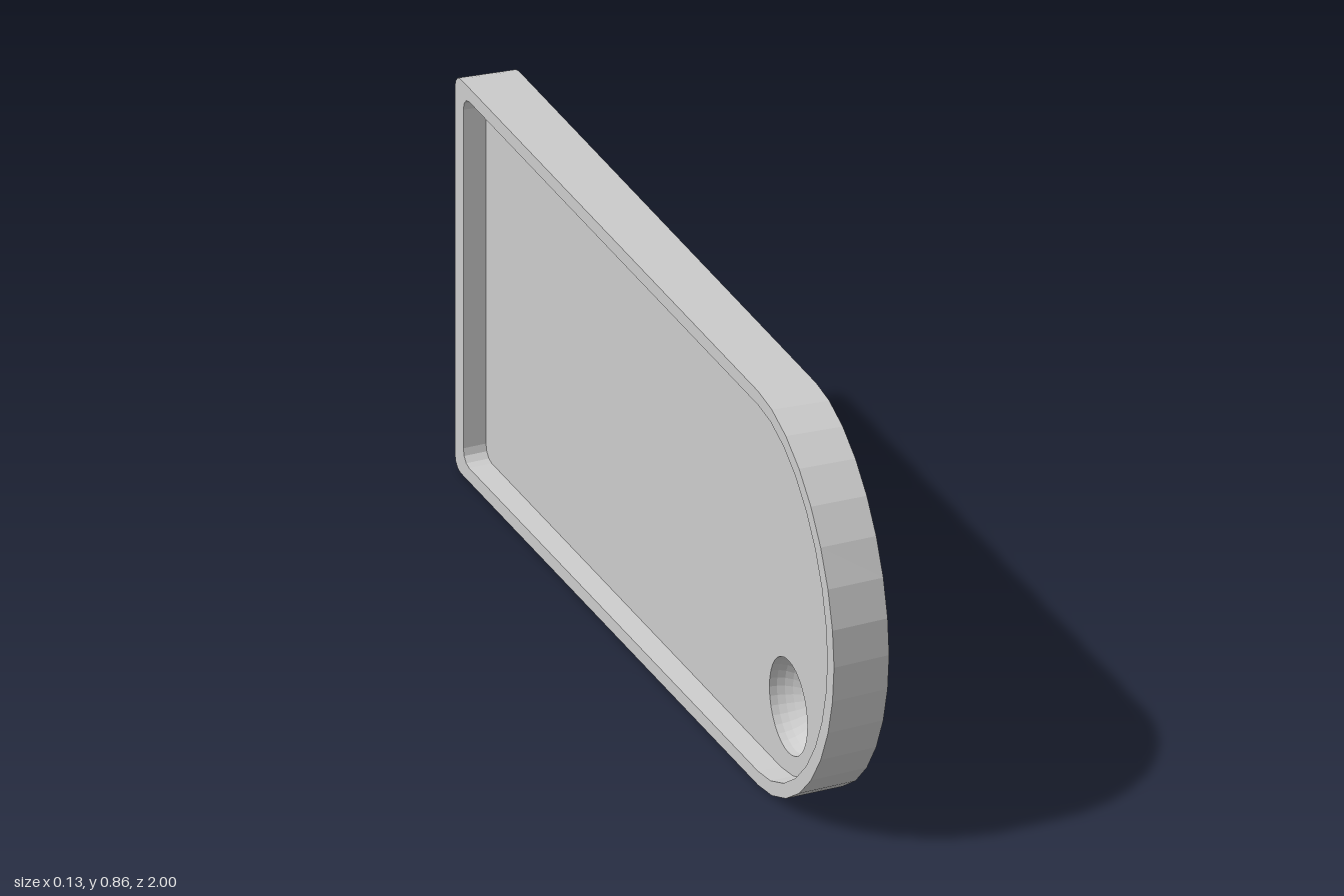
import * as THREE from 'three';

const HEIGHT = 0.855, MID = HEIGHT / 2;
const PLATE_X = -0.015;

// Outline in (z, y): rounded front end, straight edges, small back corners
function outline(sideInset, frontInset, backInset) {
  const pts = [];
  const h = MID - sideInset, z0 = 0.6, reach = 0.4 - frontInset;
  const n = 16;
  for (let i = 0; i <= n; i++) {
    const t = -Math.PI / 2 + (Math.PI * i) / n;
    const c = Math.max(0, Math.cos(t)), s = Math.sin(t);
    pts.push([z0 + reach * Math.pow(c, 1.05), MID + h * Math.sign(s) * Math.pow(Math.abs(s), 1.05)]);
  }
  const zb = -1 + backInset, r = 0.03;
  for (const side of [1, -1]) {
    for (let k = 0; k <= 3; k++) {
      const a = (Math.PI / 6) * (side > 0 ? k : 3 - k);
      pts.push([zb + r - r * Math.sin(a), MID + side * (h - r + r * Math.cos(a))]);
    }
  }
  return pts;
}

// Skin a series of closed rings, each { x, pts }
function loft(rings) {
  const pos = [], index = [], n = rings[0].pts.length;
  for (const { x, pts } of rings) for (const [z, y] of pts) pos.push(x, y, z);
  for (let r = 0; r < rings.length - 1; r++) {
    for (let i = 0; i < n; i++) {
      const j = (i + 1) % n;
      const a = r * n + i, b = a + n, c = r * n + j, d = c + n;
      index.push(a, b, c, b, d, c);
    }
  }
  const g = new THREE.BufferGeometry();
  g.setAttribute('position', new THREE.Float32BufferAttribute(pos, 3));
  g.setIndex(index);
  const flat = g.toNonIndexed();
  flat.computeVertexNormals();
  return flat;
}

export function createModel() {
  const group = new THREE.Group();
  group.name = 'panel';
  const material = new THREE.MeshStandardMaterial({
    color: 0xcccccc, flatShading: true, side: THREE.DoubleSide,
  });
  const add = (name, geometry) => {
    const mesh = new THREE.Mesh(geometry, material);
    mesh.name = name;
    group.add(mesh);
    return mesh;
  };

  // Raised rim: broad on the right face, thin and tapered on the left face
  const plateLoop = outline(0.032, 0.036, 0.045);
  add('rim', loft([
    { x: PLATE_X, pts: plateLoop },
    { x: -0.063, pts: outline(0.03, 0.035, 0.045) },
    { x: -0.063, pts: outline(0, 0, 0) },
    { x: 0.06, pts: outline(0.003, 0.015, 0) },
    { x: 0.06, pts: outline(0.022, 0.028, 0.012) },
    { x: PLATE_X, pts: plateLoop },
  ]));

  // Thin web between the rims, pierced where the dome is pressed out
  const knobZ = 0.64, knobY = 0.18, knobR = 0.1;
  const shape = new THREE.Shape(plateLoop.map(([z, y]) => new THREE.Vector2(z, y)));
  shape.holes.push(new THREE.Path().absarc(knobZ, knobY, knobR, 0, Math.PI * 2, true));
  const web = new THREE.ShapeGeometry(shape, 16);
  web.rotateY(-Math.PI / 2);
  add('web', web).position.x = PLATE_X;

  // Hollow dome, convex on the left face and concave on the right
  const dome = new THREE.SphereGeometry(knobR, 32, 8, 0, Math.PI * 2, 0, Math.PI / 2);
  dome.rotateZ(-Math.PI / 2);
  dome.scale(0.78, 1, 1);
  add('dome', dome).position.set(PLATE_X, knobY, knobZ);

  return group;
}
